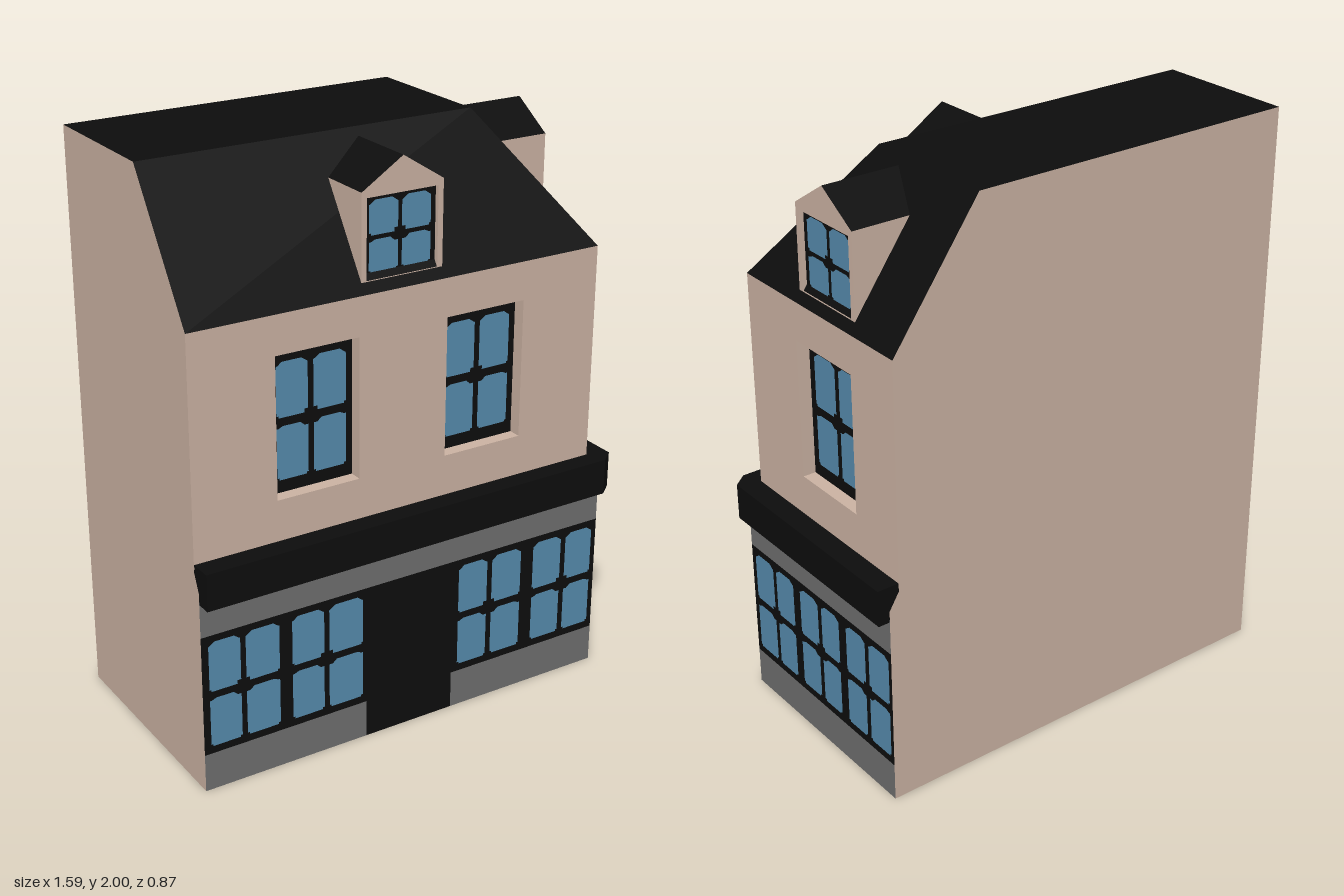
import * as THREE from 'three';

const colour = (name, hex) => {
  const m = new THREE.MeshStandardMaterial({ color: hex, side: THREE.DoubleSide });
  m.name = name;
  return m;
};

export function createModel() {
  const black = colour('black paint', 0x0d0d0d);
  const plaster = colour('plaster', 0xcdb4a4);
  const stone = colour('grey stone', 0x6f6f6f);
  const glass = colour('blue glass', 0x568cae);

  const LEFT = -0.8, BACK = -0.437;
  const model = new THREE.Group();
  model.name = 'cornerHouse';

  const add = (parent, name, geometry, material) => {
    const mesh = new THREE.Mesh(geometry, material);
    mesh.name = name;
    parent.add(mesh);
    return mesh;
  };
  const outline = pts => new THREE.Shape(pts.map(p => new THREE.Vector2(p[0], p[1])));
  const rect = (u0, u1, y0, y1) => [[u0, y0], [u1, y0], [u1, y1], [u0, y1]];

  // Flat panel with optional holes, in the plane of its parent
  const panel = (parent, name, material, pts, holes = [], z = 0) => {
    const shape = outline(pts);
    shape.holes = holes.map(outline);
    const mesh = add(parent, name, new THREE.ShapeGeometry(shape), material);
    mesh.position.z = z;
    return mesh;
  };

  // Flat faces (triangles or quads) given by their corners
  const faces = (parent, name, material, list) => {
    const pos = [];
    for (const f of list)
      for (let i = 1; i < f.length - 1; i++) pos.push(...f[0], ...f[i], ...f[i + 1]);
    const g = new THREE.BufferGeometry();
    g.setAttribute('position', new THREE.Float32BufferAttribute(pos, 3));
    g.computeVertexNormals();
    return add(parent, name, g, material);
  };

  // A group whose local x runs along a wall and local z points out of it
  const side = (name, turn, x, z) => {
    const g = new THREE.Group();
    g.name = name;
    g.rotation.y = turn;
    g.position.set(x, 0, z);
    model.add(g);
    return g;
  };

  // Pane outline: arched top for the upper row, notch at the crossing of the bars
  const pane = (u0, u1, y0, y1, upper, innerRight) => {
    const c = 0.007, n = 0.013, a = upper ? 0.008 : 0;
    const bl = upper && !innerRight ? n : c, br = upper && innerRight ? n : c;
    const tr = !upper && innerRight ? n : c, tl = !upper && !innerRight ? n : c;
    return [
      [u0, y0 + bl], [u0 + bl, y0 + bl], [u0 + bl, y0], [u1 - br, y0], [u1 - br, y0 + br], [u1, y0 + br],
      [u1, y1 - tr - a], [u1 - tr, y1 - tr - a / 2], [u1 - tr - 0.015, y1],
      [u0 + tl + 0.015, y1], [u0 + tl, y1 - tl - a / 2], [u0, y1 - tl - a],
    ];
  };

  // Black window frame filled with panes; each column is [u0, u1], rows are lower then upper
  const glazing = (parent, name, frame, columns, rows, z = 0) => {
    const panes = [];
    columns.forEach(([u0, u1], i) => rows.forEach(([y0, y1], r) =>
      panes.push(pane(u0, u1, y0, y1, r === 1, i % 2 === 0))));
    panel(parent, name + 'Frame', black, frame, panes, z);
    panes.forEach(p => panel(parent, name + 'Pane', glass, p, [], z));
  };

  // Reveal around a recessed opening
  const reveal = (parent, name, hole, depth) =>
    faces(parent, name, plaster, hole.map((a, i) => {
      const b = hole[(i + 1) % 4];
      return [[...a, 0], [...b, 0], [...b, -depth], [...a, -depth]];
    }));

  // ---- Ground floor: shop front and side ----
  const shopRows = [[0.16, 0.335], [0.36, 0.538]];
  const shopFront = side('shopFront', 0, 0, 0.381);
  const shopSide = side('shopSide', Math.PI / 2, 0.752, 0);

  panel(shopFront, 'door', black, rect(-0.193, 0.148, 0, 0.562));
  const frontBays = [
    [LEFT, -0.193, [[-0.775, -0.662], [-0.643, -0.521], [-0.474, -0.355], [-0.336, -0.207]]],
    [0.148, 0.752, [[0.172, 0.289], [0.309, 0.43], [0.482, 0.601], [0.621, 0.734]]],
  ];
  for (const [u0, u1, columns] of frontBays) {
    panel(shopFront, 'stoneBase', stone, rect(u0, u1, 0, 0.134));
    glazing(shopFront, 'shopWindow', rect(u0, u1, 0.134, 0.562), columns, shopRows);
  }
  panel(shopFront, 'stoneBand', stone, rect(LEFT, 0.752, 0.562, 0.69));

  const sideColumns = [[-0.361, -0.25], [-0.232, -0.126], [-0.086, 0.021],
    [0.041, 0.143], [0.184, 0.291], [0.311, 0.422]];
  panel(shopSide, 'stoneBase', stone, rect(-0.381, -BACK, 0, 0.134));
  glazing(shopSide, 'shopWindow', rect(-0.381, -BACK, 0.134, 0.562), sideColumns, shopRows);
  panel(shopSide, 'stoneBand', stone, rect(-0.381, -BACK, 0.562, 0.69));

  // ---- Cornice wrapping the corner, with a chamfered end ----
  const corniceShape = outline([[-0.799, -0.433], [0.742, -0.424], [0.792, -0.382], [0.792, 0.435],
    [0.7, 0.435], [0.7, -0.34], [-0.799, -0.34]]);
  const cornice = add(model, 'cornice',
    new THREE.ExtrudeGeometry(corniceShape, { depth: 0.127, bevelEnabled: false }), black);
  cornice.rotation.x = -Math.PI / 2;
  cornice.position.y = 0.68;

  // ---- Upper floor walls with recessed windows ----
  const upperFloor = (parent, u0, u1, windows) => {
    const holes = windows.map(u => rect(u, u + 0.298, 0.948, 1.428));
    panel(parent, 'upperWall', plaster, rect(u0, u1, 0.79, 1.56), holes);
    windows.forEach((u, i) => {
      reveal(parent, 'windowReveal', holes[i], 0.045);
      glazing(parent, 'upperWindow', holes[i], [[u + 0.026, u + 0.139], [u + 0.159, u + 0.276]],
        [[0.99, 1.172], [1.2, 1.385]], -0.045);
    });
  };
  upperFloor(side('upperFront', 0, 0, 0.355), LEFT, 0.715, [-0.504, 0.121]);
  upperFloor(side('upperSide', Math.PI / 2, 0.715, 0), -0.355, -BACK, [-0.081]);

  // ---- Mansard roof ----
  faces(model, 'roof', black, [
    [[LEFT, 1.56, 0.355], [0.715, 1.56, 0.355], [0.4, 2, 0.06], [LEFT, 2, 0.06]],
    [[0.715, 1.56, 0.355], [0.715, 1.56, BACK], [0.4, 2, BACK], [0.4, 2, 0.06]],
    [[LEFT, 2, 0.06], [0.4, 2, 0.06], [0.4, 2, BACK], [LEFT, 2, BACK]],
  ]);

  // ---- Dormers: gabled front, side cheeks and a small pitched roof ----
  const dormer = (parent, u, eaveDepth, ridgeDepth) => {
    const g = new THREE.Group();
    g.name = 'dormer';
    g.position.x = u;
    parent.add(g);
    const h = 0.149, y0 = 1.584, eave = 1.878, ridge = 1.973;
    const hole = rect(-0.13, 0.13, 1.595, 1.858);
    panel(g, 'dormerFront', plaster, [[-h, y0], [h, y0], [h, eave], [0, ridge], [-h, eave]], [hole]);
    reveal(g, 'dormerReveal', hole, 0.015);
    glazing(g, 'dormerWindow', hole, [[-0.113, -0.007], [0.007, 0.113]],
      [[1.612, 1.718], [1.732, 1.844]], -0.015);
    faces(g, 'dormerCheeks', plaster, [
      [[h, y0, 0], [h, eave, -eaveDepth], [h, eave, 0]],
      [[-h, y0, 0], [-h, eave, 0], [-h, eave, -eaveDepth]],
    ]);
    faces(g, 'dormerRoof', black, [
      [[h, eave, 0], [h, eave, -eaveDepth], [0, ridge, -ridgeDepth], [0, ridge, 0]],
      [[-h, eave, 0], [0, ridge, 0], [0, ridge, -ridgeDepth], [-h, eave, -eaveDepth]],
    ]);
  };
  dormer(side('frontDormer', 0, 0, 0.333), -0.037, 0.191, 0.255);
  dormer(side('sideDormer', Math.PI / 2, 0.692, 0), 0.067, 0.205, 0.273);

  // ---- Blank party walls at the back and on the far end ----
  panel(side('backWall', Math.PI, 0, BACK), 'backPartyWall', plaster,
    [[-0.752, 0], [0.8, 0], [0.8, 2], [-0.4, 2], [-0.715, 1.56], [-0.715, 0.78], [-0.752, 0.72]]);
  panel(side('endWall', -Math.PI / 2, LEFT, 0), 'endPartyWall', plaster,
    [[BACK, 0], [0.381, 0], [0.381, 0.72], [0.355, 0.78], [0.355, 1.56], [0.06, 2], [BACK, 2]]);

  return model;
}
